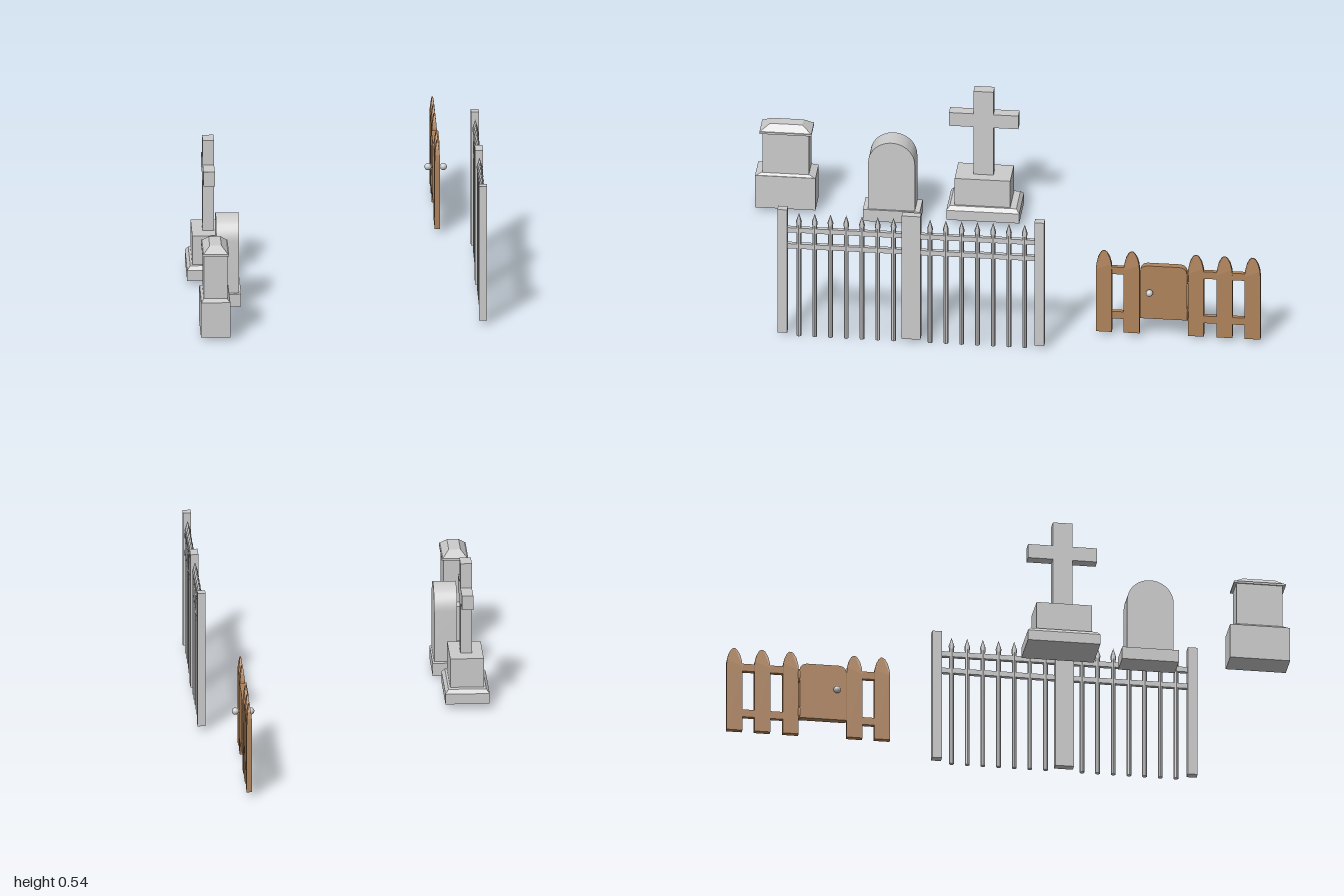
import * as THREE from 'three';
import { toCreasedNormals } from 'three/addons/utils/BufferGeometryUtils.js';

const stone = new THREE.MeshStandardMaterial({ color: 0xcccccc });
const wood = new THREE.MeshStandardMaterial({ color: 0xb0845c });

function add(parent, name, geometry, material, x = 0, y = 0, z = 0) {
  const mesh = new THREE.Mesh(geometry, material);
  mesh.name = name;
  mesh.position.set(x, y, z);
  parent.add(mesh);
  return mesh;
}

// Box from its limits; the top face may be drawn in by insetX and insetZ
function block(parent, name, material, [x0, x1], [y0, y1], [z0, z1], insetX = 0, insetZ = insetX) {
  const geometry = new THREE.BoxGeometry(x1 - x0, y1 - y0, z1 - z0);
  const p = geometry.attributes.position;
  for (let i = 0; i < p.count; i++) {
    if (p.getY(i) < 0) continue;
    p.setX(i, p.getX(i) - Math.sign(p.getX(i)) * insetX);
    p.setZ(i, p.getZ(i) - Math.sign(p.getZ(i)) * insetZ);
  }
  geometry.computeVertexNormals();
  return add(parent, name, geometry, material, (x0 + x1) / 2, (y0 + y1) / 2, (z0 + z1) / 2);
}

// Outline drawn in (z, y), given thickness along x and centred there
function slab(shape, thickness) {
  const geometry = new THREE.ExtrudeGeometry(shape, { depth: thickness, bevelEnabled: false, curveSegments: 12 });
  return geometry.translate(0, 0, -thickness / 2).rotateY(-Math.PI / 2);
}

function makeCross() {
  const g = new THREE.Group();
  g.name = 'crossGravestone';
  block(g, 'plinth', stone, [-0.556, -0.39], [0.02, 0.06], [0, 0.275]);
  block(g, 'plinthBevel', stone, [-0.556, -0.39], [0.06, 0.075], [0, 0.275], 0.012);
  block(g, 'pedestal', stone, [-0.536, -0.41], [0.075, 0.187], [0.036, 0.246]);
  block(g, 'crossUpright', stone, [-0.495, -0.452], [0.187, 0.54], [0.104, 0.179]);
  for (const [z0, z1] of [[0.01, 0.104], [0.179, 0.272]])
    block(g, 'crossArm', stone, [-0.495, -0.452], [0.388, 0.444], [z0, z1]);
  return g;
}

function makeRoundedStone() {
  const g = new THREE.Group();
  g.name = 'archedGravestone';
  block(g, 'base', stone, [-0.463, -0.363], [0.011, 0.06], [0.372, 0.587]);
  const r = 0.088;
  const shape = new THREE.Shape();
  shape.moveTo(-r, 0.06);
  shape.lineTo(r, 0.06);
  shape.lineTo(r, 0.257);
  shape.absarc(0, 0.257, r, 0, Math.PI, false);
  shape.closePath();
  add(g, 'archedSlab', toCreasedNormals(slab(shape, 0.086), 0.6), stone, -0.413, 0, 0.48);
  return g;
}

function makePedestalStone() {
  const g = new THREE.Group();
  g.name = 'cappedGravestone';
  block(g, 'base', stone, [-0.527, -0.417], [0.016, 0.152], [0.772, 1]);
  block(g, 'baseBevel', stone, [-0.525, -0.419], [0.152, 0.161], [0.776, 0.996], 0.009, 0.02);
  block(g, 'body', stone, [-0.516, -0.427], [0.161, 0.33], [0.798, 0.973]);
  block(g, 'capEdge', stone, [-0.521, -0.421], [0.328, 0.336], [0.788, 0.984]);
  block(g, 'cap', stone, [-0.517, -0.425], [0.336, 0.36], [0.79, 0.982], 0.024, 0.035);
  return g;
}

function makeIronFence() {
  const g = new THREE.Group();
  g.name = 'ironFence';
  const x = 0.538;
  for (const [z0, z1] of [[0.773, 0.81], [0.27, 0.341], [-0.197, -0.16]])
    block(g, 'fencePost', stone, [x - 0.015, x + 0.015], [0.016, 0.54], [z0, z1]);
  for (const y of [0.383, 0.451])
    block(g, 'fenceRail', stone, [x - 0.008, x + 0.008], [y - 0.01, y + 0.01], [-0.17, 0.78]);

  // Spear-tipped bars, seven in each of two bays
  const profile = [[0, 0], [0.009, 0], [0.009, 0.47], [0.011, 0.487], [0, 0.522]];
  const bar = toCreasedNormals(
    new THREE.LatheGeometry(profile.map(([r, y]) => new THREE.Vector2(r, y)), 8), 0.9);
  for (const start of [0.73, 0.235])
    for (let i = 0; i < 7; i++) add(g, 'fenceBar', bar, stone, x, 0, start - i * 0.0595);
  return g;
}

function makeWoodFence() {
  const g = new THREE.Group();
  g.name = 'woodenFence';
  const x = 0.404;

  // Picket with a bullet-shaped top that also thins towards its tip
  const side = [[0.03, 0.28], [0.028, 0.305], [0.022, 0.33], [0.012, 0.35], [0.004, 0.357]];
  const outline = [[-0.03, 0.016], [0.03, 0.016], ...side,
    ...side.slice().reverse().map(([z, y]) => [-z, y])];
  const picket = slab(new THREE.Shape(outline.map(([z, y]) => new THREE.Vector2(z, y))), 0.02);
  const p = picket.attributes.position;
  for (let i = 0; i < p.count; i++) {
    const t = Math.max(0, (p.getY(i) - 0.28) / 0.077);
    p.setX(i, p.getX(i) * (1 - 0.8 * t * t));
  }
  picket.computeVertexNormals();
  for (const z of [-0.407, -0.512, -0.754, -0.862, -0.968]) add(g, 'picket', picket, wood, x, 0, z);

  // Rails on either side of the gate
  for (const y of [0.088, 0.277])
    for (const span of [[-0.535, -0.38], [-0.996, -0.73]])
      block(g, 'picketRail', wood, [x - 0.008, x + 0.008], [y - 0.015, y + 0.015], span);

  // Gate with softened upper corners
  const w = 0.0885;
  const gate = new THREE.Shape();
  gate.moveTo(-w, 0.083);
  gate.lineTo(w, 0.083);
  gate.lineTo(w, 0.282);
  gate.quadraticCurveTo(w - 0.004, 0.305, w - 0.028, 0.307);
  gate.lineTo(-w + 0.028, 0.307);
  gate.quadraticCurveTo(-w + 0.004, 0.305, -w, 0.282);
  gate.closePath();
  add(g, 'gatePanel', toCreasedNormals(slab(gate, 0.026), 0.6), wood, x, 0, -0.632);

  // Hinges
  const barrel = [[0, -0.024], [0.011, -0.024], [0.0155, -0.014], [0.0155, 0.014], [0.011, 0.024], [0, 0.024]];
  const hinge = toCreasedNormals(
    new THREE.LatheGeometry(barrel.map(([r, y]) => new THREE.Vector2(r, y)), 12), 0.6);
  for (const y of [0.105, 0.26]) add(g, 'gateHinge', hinge, wood, x, y, -0.721).scale.z = 0.45;

  // Knobs on both faces
  for (const s of [-1, 1])
    add(g, 'gateKnob', new THREE.SphereGeometry(0.0135, 16, 12), stone, x + s * 0.029, 0.2, -0.581);
  add(g, 'knobSpindle', new THREE.CylinderGeometry(0.005, 0.005, 0.05, 10), stone, x, 0.2, -0.581)
    .rotation.z = Math.PI / 2;
  return g;
}

export function createModel() {
  const model = new THREE.Group();
  model.name = 'graveyardSet';
  model.add(makeCross(), makeRoundedStone(), makePedestalStone(), makeIronFence(), makeWoodFence());
  return model;
}
